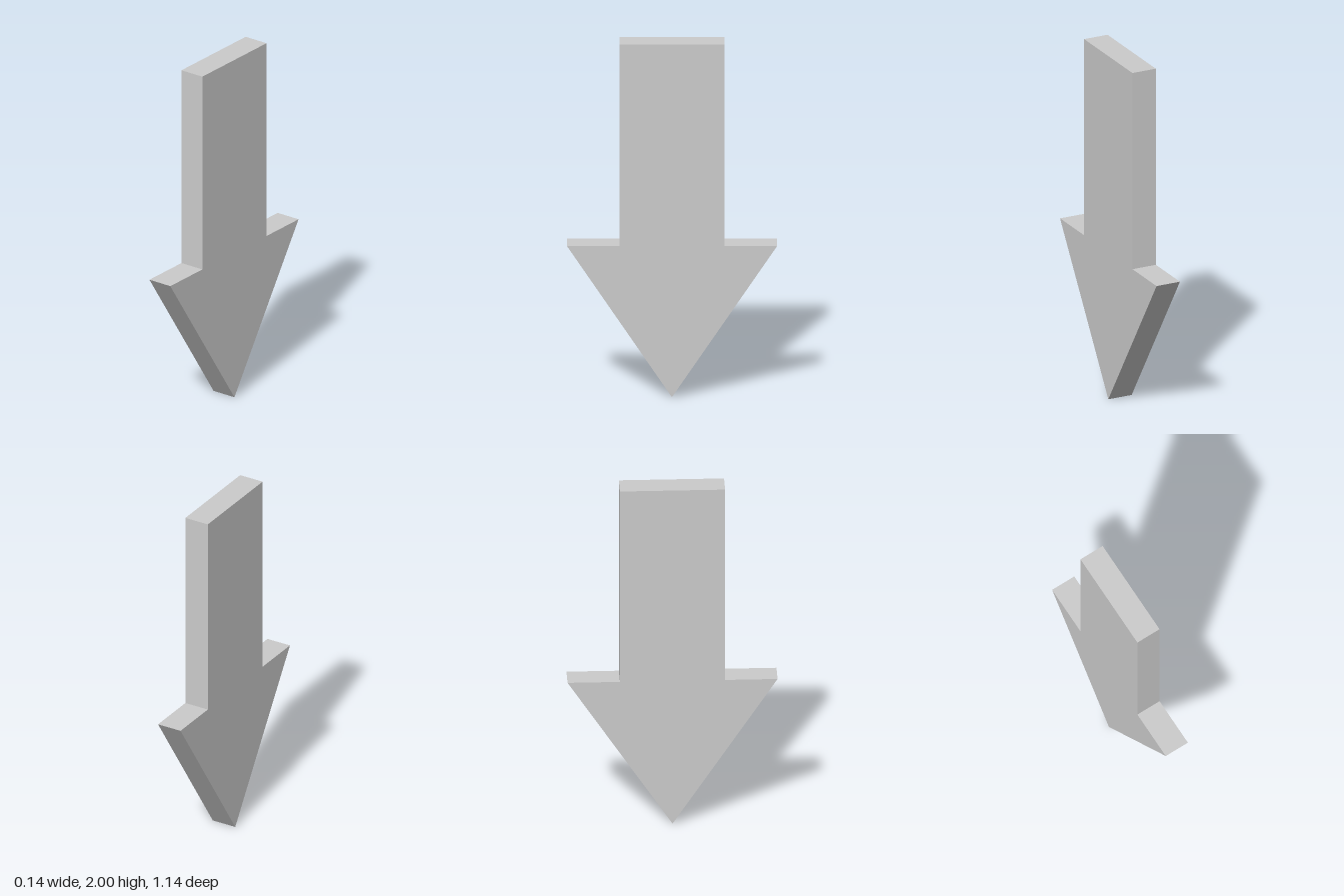
import * as THREE from 'three';

const THICKNESS = 0.143;
const SHAFT_HALF = 0.286;
const HEAD_HALF = 0.571;
const HEAD_TOP = 0.857;
const HEIGHT = 2;

export function createModel() {
  const group = new THREE.Group();
  group.name = 'downArrow';

  // Arrow outline, counter-clockwise from the tip
  const outline = new THREE.Shape([
    [0, 0],
    [HEAD_HALF, HEAD_TOP],
    [SHAFT_HALF, HEAD_TOP],
    [SHAFT_HALF, HEIGHT],
    [-SHAFT_HALF, HEIGHT],
    [-SHAFT_HALF, HEAD_TOP],
    [-HEAD_HALF, HEAD_TOP],
  ].map(([u, v]) => new THREE.Vector2(u, v)));

  // Flat slab, turned so its broad faces look along x
  const geometry = new THREE.ExtrudeGeometry(outline, { depth: THICKNESS, bevelEnabled: false });
  geometry.translate(0, 0, -THICKNESS / 2);
  geometry.rotateY(Math.PI / 2);

  const material = new THREE.MeshStandardMaterial({ color: 0xcccccc, flatShading: true });
  const arrow = new THREE.Mesh(geometry, material);
  arrow.name = 'arrow';
  group.add(arrow);
  return group;
}
